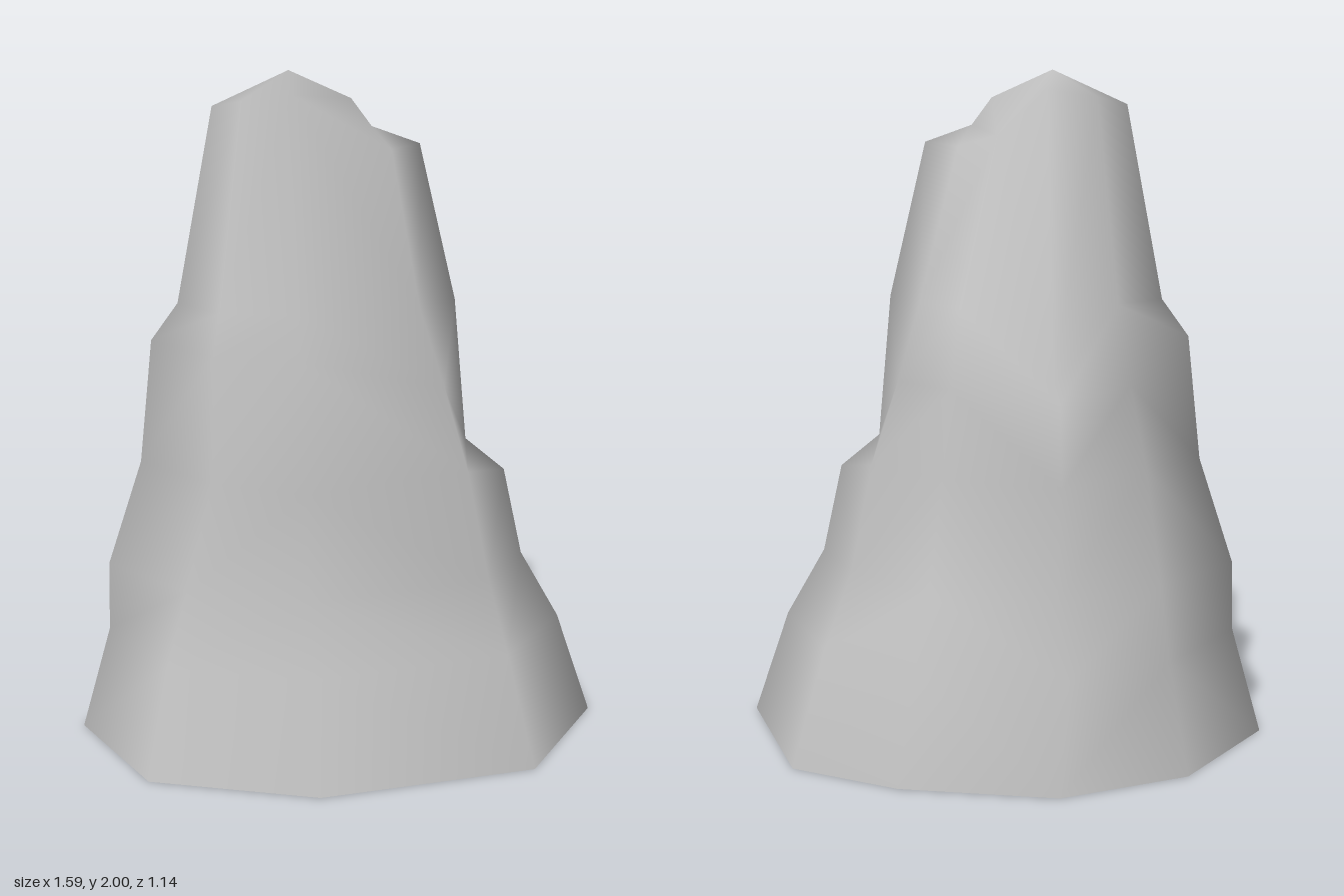
import * as THREE from 'three';

// Ring heights, and the x, z path each column of corners follows up the rings.
// Columns run from the left side over the back to the right and the front.
const heights = [0, 0.32, 0.53, 0.85, 1.1, 1.33];
const columns = [
  [-0.8, 0.03, -0.71, 0.03, -0.705, 0.03, -0.6, 0.03, -0.56, 0.03, -0.48, 0.03, -0.37, 0.03], // left
  [-0.59, -0.37, -0.53, -0.31, -0.5, -0.26, -0.45, -0.16, -0.4, -0.16, -0.36, -0.13, -0.29, -0.06],
  [-0.24, -0.575, -0.26, -0.53, -0.22, -0.48, -0.23, -0.46, -0.22, -0.415, -0.19, -0.31, -0.15, -0.11], // back
  [0.22, -0.565, 0.18, -0.5, 0.15, -0.43, 0.12, -0.365, 0.1, -0.325, 0.08, -0.29, 0, -0.08],
  [0.55, -0.455, 0.48, -0.32, 0.42, -0.21, 0.36, -0.19, 0.28, -0.18, 0.22, -0.14, 0.12, -0.04],
  [0.79, 0.03, 0.68, 0.03, 0.56, 0.03, 0.5, 0.03, 0.38, 0.03, 0.34, 0.03, 0.23, 0.03], // right
  [0.54, 0.44, 0.47, 0.34, 0.42, 0.27, 0.36, 0.22, 0.29, 0.19, 0.22, 0.15, 0.14, 0.105],
  [-0.1, 0.57, -0.11, 0.48, -0.12, 0.42, -0.13, 0.41, -0.14, 0.36, -0.14, 0.26, -0.15, 0.18], // front
  [-0.59, 0.43, -0.53, 0.36, -0.47, 0.3, -0.39, 0.28, -0.38, 0.28, -0.36, 0.2, -0.29, 0.13],
];
const topHeights = [1.9, 1.92, 1.94, 1.81, 1.78, 1.79, 1.78, 1.94, 1.92];
// Ledges, where a corner leaves its ring: column, ring, height
const ledges = [
  [0, 4, 1.22], [8, 4, 1.22], [7, 4, 1.22], // left and front shoulder
  [2, 4, 1.08], [2, 5, 1.12], // back ledge
  [5, 3, 0.8], [5, 4, 0.9], // right ledge
];

export function createModel() {
  const n = columns.length;
  const points = [];
  for (let r = 0; r <= heights.length; r++) {
    columns.forEach((path, c) => {
      points.push(new THREE.Vector3(path[2 * r], heights[r] ?? topHeights[c], path[2 * r + 1]));
    });
  }
  for (const [c, r, y] of ledges) points[r * n + c].y = y;

  // Walls; the creases of neighbouring columns lean in alternate directions
  const index = [];
  for (let r = 0; r < heights.length; r++) {
    for (let c = 0; c < n; c++) {
      const a = r * n + c, b = r * n + (c + 1) % n;
      if (c % 2 === 0 && c < n - 1) index.push(b, a, b + n, a, a + n, b + n);
      else index.push(b, a, a + n, b, a + n, b + n);
    }
  }

  // Top: a peak, then a step down to a low shelf on the right
  const top = heights.length * n;
  const peak = points.push(new THREE.Vector3(-0.15, 2, 0.03)) - 1;
  const step = points.push(new THREE.Vector3(0.03, 1.92, 0.03)) - 1;
  const shelf = points.push(new THREE.Vector3(0.09, 1.84, 0.03)) - 1;
  const fan = (centre, rim) => {
    for (let i = 0; i < rim.length - 1; i++) index.push(rim[i + 1], rim[i], centre);
  };
  const rim = (...cols) => cols.map((c) => top + c);
  fan(peak, [step, ...rim(7, 8, 0, 1, 2, 3), step]);
  fan(shelf, [step, ...rim(3, 4, 5, 6, 7), step]);

  const geometry = new THREE.BufferGeometry().setFromPoints(points);
  geometry.setIndex(index);
  geometry.computeVertexNormals();

  // The rock is a hollow shell, open underneath
  const stone = new THREE.MeshStandardMaterial({ color: 0xc2c2c2, side: THREE.DoubleSide });
  stone.name = 'grey stone';
  const rock = new THREE.Mesh(geometry, stone);
  rock.name = 'rockSpire';
  const group = new THREE.Group();
  group.name = 'rock';
  group.add(rock);
  return group;
}
